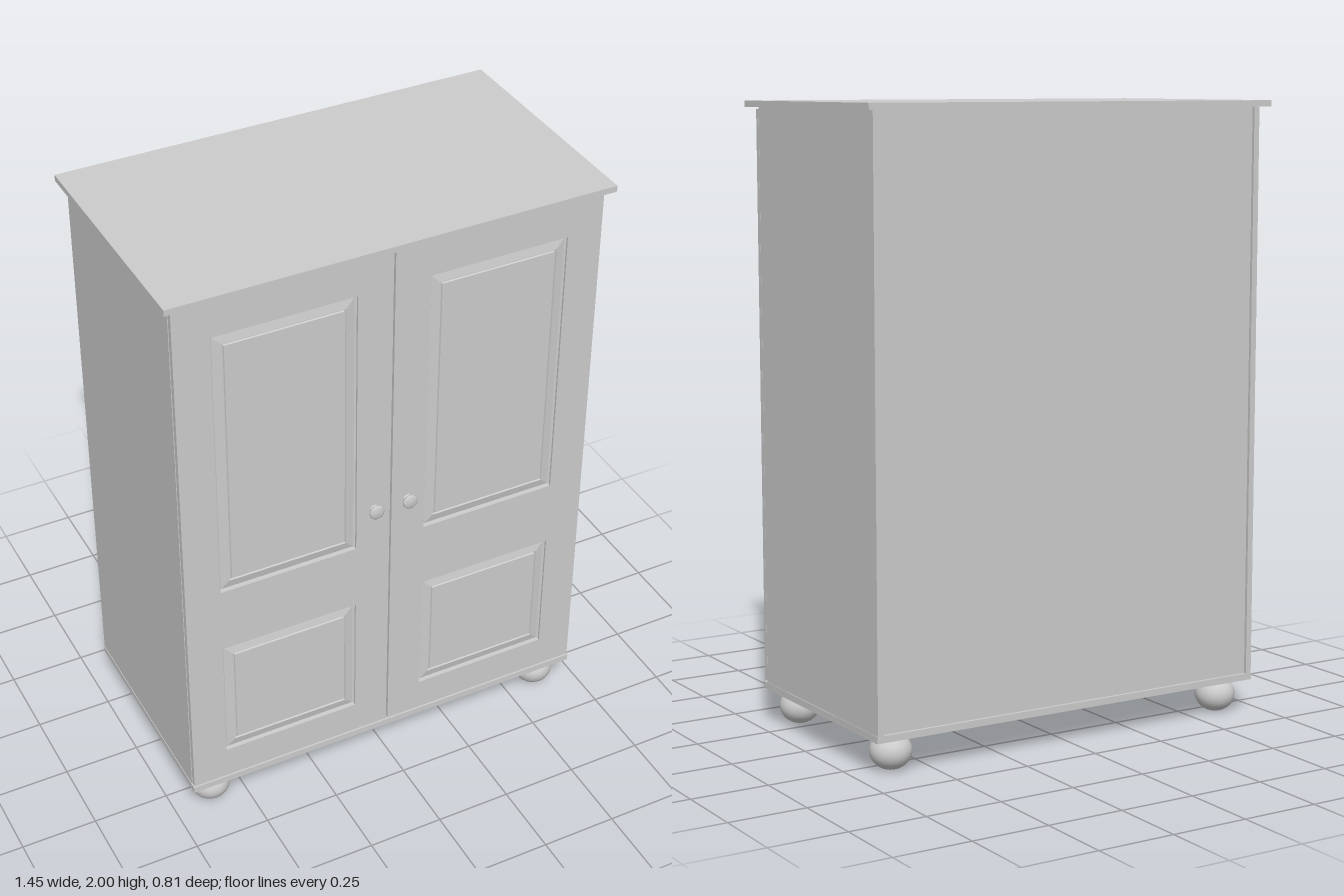
import * as THREE from 'three';

const material = new THREE.MeshStandardMaterial({ color: 0xcccccc });

function add(parent, name, geometry, x = 0, y = 0, z = 0) {
  const mesh = new THREE.Mesh(geometry, material);
  mesh.name = name;
  mesh.position.set(x, y, z);
  parent.add(mesh);
  return mesh;
}

// Board given by its limits on each axis
function board(parent, name, x0, x1, y0, y1, z0, z1) {
  return add(parent, name, new THREE.BoxGeometry(x1 - x0, y1 - y0, z1 - z0),
    (x0 + x1) / 2, (y0 + y1) / 2, (z0 + z1) / 2);
}

const corners = ([x0, x1, y0, y1], inset = 0) => [
  [x0 + inset, y0 + inset], [x1 - inset, y0 + inset],
  [x1 - inset, y1 - inset], [x0 + inset, y1 - inset],
].map(([x, y]) => new THREE.Vector2(x, y));

// Fielded panel: rectangular rings stepping from the frame to the flat centre
function panelGeometry(rect) {
  const rings = [[0, 0.371], [0.006, 0.368], [0.034, 0.374], [0.036, 0.369], [0.04, 0.369], [0.042, 0.374]]
    .map(([inset, z]) => corners(rect, inset).map(p => [p.x, p.y, z]));
  const pos = [];
  const quad = (a, b, c, d) => pos.push(...a, ...b, ...c, ...a, ...c, ...d);
  for (let r = 0; r < rings.length - 1; r++) {
    for (let i = 0; i < 4; i++) {
      const j = (i + 1) % 4;
      quad(rings[r][i], rings[r][j], rings[r + 1][j], rings[r + 1][i]);
    }
  }
  quad(...rings[rings.length - 1]);
  const geometry = new THREE.BufferGeometry();
  geometry.setAttribute('position', new THREE.Float32BufferAttribute(pos, 3));
  geometry.computeVertexNormals();
  return geometry;
}

// Door frame with two openings, its panels and a turned knob
function door(side) {
  const group = new THREE.Group();
  group.name = side > 0 ? 'leftDoor' : 'rightDoor';
  const mirror = ([x0, x1, y0, y1]) => side > 0 ? [x0, x1, y0, y1] : [-x1, -x0, y0, y1];
  const openings = [[0.119, 0.582, 0.912, 1.85], [0.119, 0.582, 0.248, 0.683]].map(mirror);

  const shape = new THREE.Shape(corners(mirror([0.003, 0.699, 0.137, 1.974])));
  for (const rect of openings) shape.holes.push(new THREE.Path(corners(rect).reverse()));
  add(group, 'doorFrame', new THREE.ExtrudeGeometry(shape, { depth: 0.017, bevelEnabled: false }), 0, 0, 0.361);
  openings.forEach((rect, i) => add(group, i ? 'lowerPanel' : 'upperPanel', panelGeometry(rect)));

  const profile = [[0.015, 0], [0.012, 0.006], [0.012, 0.012], [0.022, 0.015],
    [0.025, 0.019], [0.024, 0.023], [0.017, 0.027], [0, 0.028]];
  const knob = add(group, 'knob',
    new THREE.LatheGeometry(profile.map(p => new THREE.Vector2(...p)), 32), side * 0.058, 1.05, 0.378);
  knob.rotation.x = Math.PI / 2;
  return group;
}

export function createModel() {
  const group = new THREE.Group();
  group.name = 'wardrobe';

  // Carcass
  board(group, 'top', -0.727, 0.727, 1.98, 2, -0.406, 0.402);
  board(group, 'base', -0.702, 0.702, 0.11, 0.132, -0.38, 0.38);
  board(group, 'back', -0.682, 0.682, 0.132, 1.98, -0.37, -0.355);
  for (const s of [-1, 1]) {
    board(group, s > 0 ? 'leftSide' : 'rightSide', s * 0.69 - 0.01, s * 0.69 + 0.01, 0.132, 1.98, -0.38, 0.358);
  }

  // Doors
  group.add(door(1), door(-1));

  // Bun feet
  for (const x of [-0.613, 0.613]) {
    for (const z of [-0.3, 0.3]) {
      const foot = add(group, 'foot', new THREE.SphereGeometry(0.066, 32, 20), x, 0.058, z);
      foot.scale.y = 0.058 / 0.066;
    }
  }
  return group;
}
